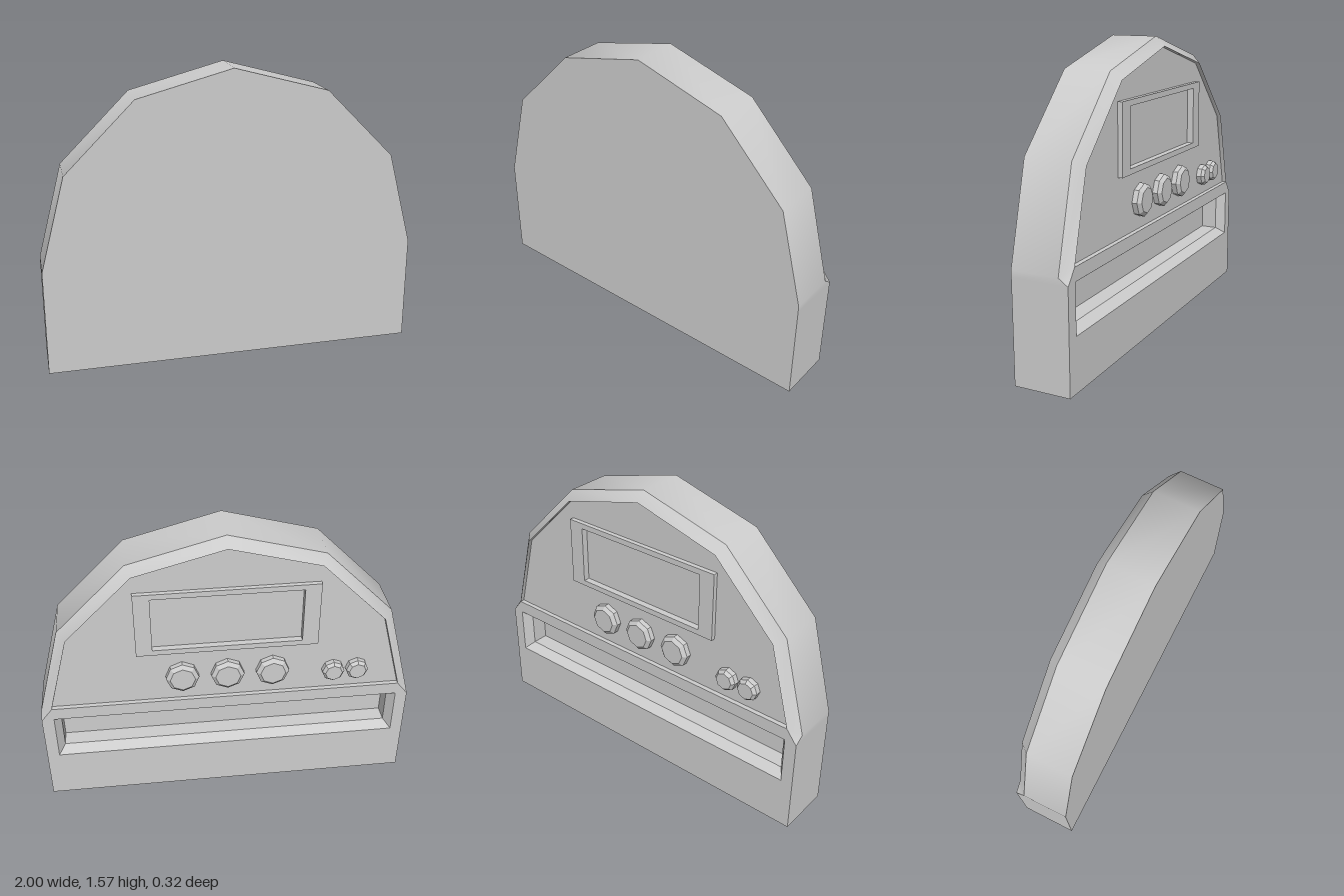
import * as THREE from 'three';
import { mergeGeometries, toCreasedNormals } from 'three/addons/utils/BufferGeometryUtils.js';

const material = new THREE.MeshStandardMaterial({ color: 0xcccccc });

// Depths, from the flat front to the tips of the buttons
const FRONT = 0.16, CHAMFER = -0.09, FLOOR = -0.105, PANEL = -0.115, BACK = -0.14, TIP = -0.16;

const atZ = (ring, z) => ring.map(([x, y]) => [x, y, z]);
const rect = (hx, y0, y1) => [[hx, y0], [hx, y1], [-hx, y1], [-hx, y0]];

// Points of the twelve-sided arch, running from +x over the top to -x
function arch(radius, first, last) {
  const points = [];
  for (let i = first; i <= last; i++) {
    const a = i * Math.PI / 6;
    points.push([radius * Math.cos(a), 0.57 + radius * Math.sin(a)]);
  }
  return points;
}

// Strip of quads joining two rings of 3D points
function loft(a, b, closed = true) {
  const pos = [];
  const n = a.length;
  for (let i = 0; i < (closed ? n : n - 1); i++) {
    const j = (i + 1) % n;
    pos.push(...a[i], ...b[i], ...b[j], ...a[i], ...b[j], ...a[j]);
  }
  const g = new THREE.BufferGeometry();
  g.setAttribute('position', new THREE.Float32BufferAttribute(pos, 3));
  return toCreasedNormals(g, THREE.MathUtils.degToRad(35));
}

// Flat face at depth z, with optional holes, facing the back unless told otherwise
function face(ring, z, holes = [], toFront = false) {
  const vectors = (r) => r.map(([x, y]) => new THREE.Vector2(x, y));
  const shape = new THREE.Shape(vectors(ring));
  holes.forEach((h) => shape.holes.push(new THREE.Path(vectors(h))));
  const indexed = new THREE.ShapeGeometry(shape).translate(0, 0, z);
  if (!toFront) indexed.setIndex(Array.from(indexed.index.array).reverse());
  const g = indexed.toNonIndexed();
  g.deleteAttribute('uv');
  g.computeVertexNormals();
  return g;
}

function addPart(group, name, geometries) {
  const mesh = new THREE.Mesh(mergeGeometries(geometries), material);
  mesh.name = name;
  group.add(mesh);
}

// Eight-sided button with a chamfered cap, pointing backwards
function button(name, x, y, r) {
  const profile = [[r, PANEL], [r, -0.143], [r * 0.76, TIP], [0, TIP]]
    .map(([px, z]) => new THREE.Vector2(px, -z));
  const g = toCreasedNormals(new THREE.LatheGeometry(profile, 8), 0.1);
  g.rotateX(-Math.PI / 2);
  const mesh = new THREE.Mesh(g, material);
  mesh.name = name;
  mesh.position.set(x, y, 0);
  return mesh;
}

export function createModel() {
  const group = new THREE.Group();
  group.name = 'archedPanel';

  const outer = arch(1, 0, 6);
  const ridge = [[0.94, 0.61], ...arch(0.95, 1, 5), [-0.94, 0.61]];
  const slot = rect(0.935, 0.28, 0.54);
  const slotInner = rect(0.9, 0.315, 0.505);
  const frame = rect(0.475, 0.92, 1.29);
  const screen = rect(0.39, 0.95, 1.26);

  // Outer shell: flat front, side wall and chamfer around the arch
  const outline = [[-1, 0.535], [-1, 0], [1, 0], [1, 0.535], ...outer];
  const backEdge = [...atZ(outline.slice(0, 4), BACK), ...atZ(outer, CHAMFER)];
  const chamferOuter = [[1, 0.535, BACK], ...atZ(outer, CHAMFER), [-1, 0.535, BACK]];
  const chamferInner = atZ([ridge[0], ...ridge, ridge[6]], BACK);
  addPart(group, 'shell', [
    face(outline, FRONT, [], true),
    loft(atZ(outline, FRONT), backEdge),
    loft(chamferOuter, chamferInner, false),
  ]);

  // Sunken control panel inside the arch
  addPart(group, 'controlPanel', [
    loft(atZ(ridge, BACK), atZ(ridge, PANEL)),
    face(ridge, PANEL, [screen]),
  ]);

  // Lower block with its long bevelled slot
  const block = [[-1, 0], [1, 0], [1, 0.535], ridge[0], ridge[6], [-1, 0.535]];
  addPart(group, 'lowerBlock', [face(block, BACK, [slot])]);
  addPart(group, 'slot', [
    loft(atZ(slot, BACK), atZ(slotInner, -0.09)),
    loft(atZ(slotInner, -0.09), atZ(slotInner, 0)),
    face(slotInner, 0),
  ]);

  // Raised display frame and sunken screen
  addPart(group, 'displayFrame', [
    loft(atZ(frame, PANEL), atZ(frame, BACK)),
    face(frame, BACK, [screen]),
    loft(atZ(screen, BACK), atZ(screen, FLOOR)),
  ]);
  addPart(group, 'screen', [face(screen, FLOOR)]);

  // Buttons
  for (const x of [-0.24, 0, 0.24]) group.add(button('largeButton', x, 0.76, 0.088));
  for (const x of [-0.7, -0.57]) group.add(button('smallButton', x, 0.73, 0.06));

  return group;
}
